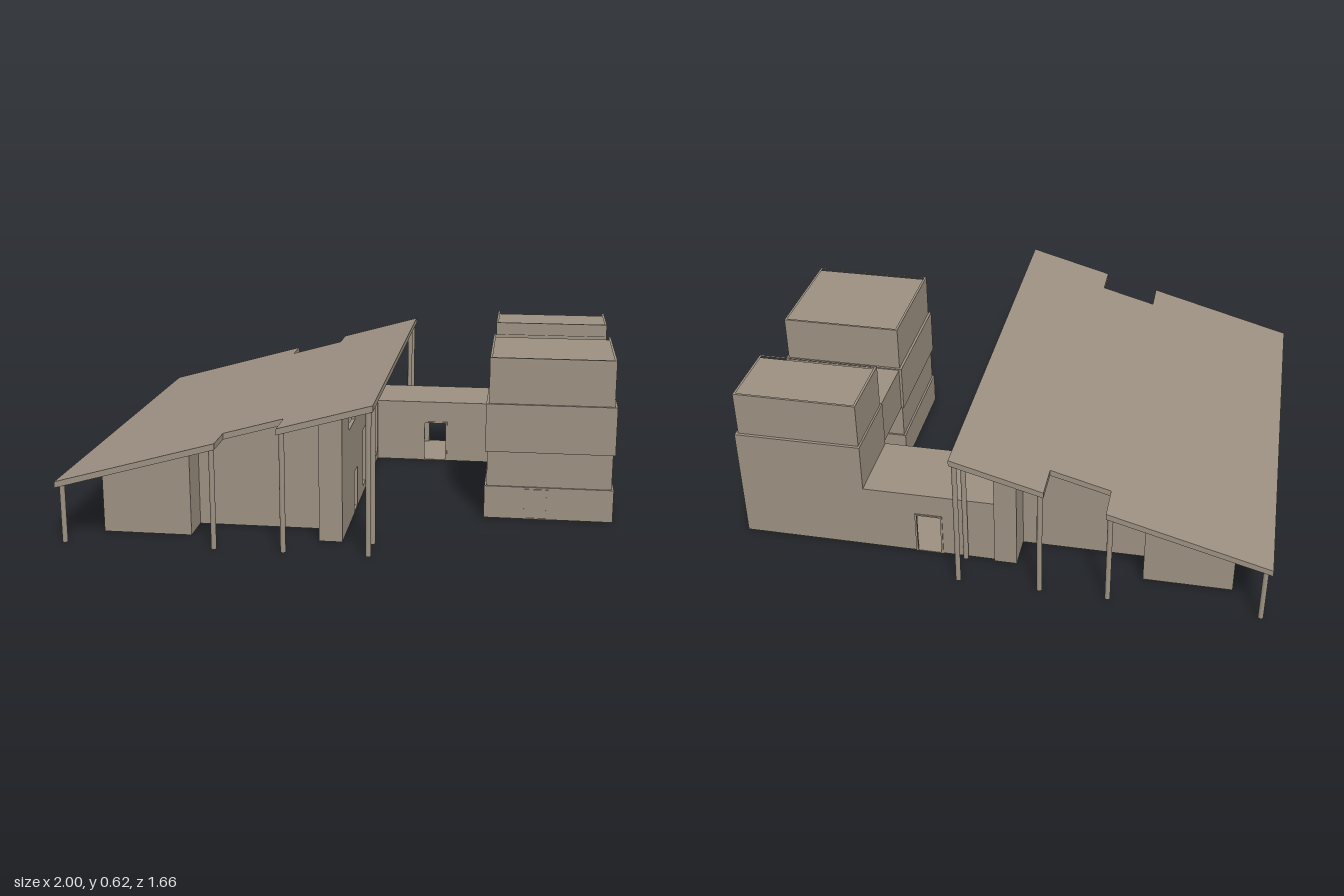
import * as THREE from 'three';

const taupe = new THREE.MeshStandardMaterial({ color: 0x9c9081 });
taupe.name = 'taupe';

// Roof plane: top and underside heights by x
const roofTop = (x) => 0.23 + 0.278 * (x + 1);
const roofUnder = (x) => roofTop(x) - 0.023;

function add(group, name, geometry) {
  const mesh = new THREE.Mesh(geometry, taupe);
  mesh.name = name;
  group.add(mesh);
  return mesh;
}

function block(group, name, x0, x1, y0, y1, z0, z1) {
  add(group, name, new THREE.BoxGeometry(x1 - x0, y1 - y0, z1 - z0))
    .position.set((x0 + x1) / 2, (y0 + y1) / 2, (z0 + z1) / 2);
}

const rect = (x0, x1, y0, y1) => [[x0, y0], [x1, y0], [x1, y1], [x0, y1]].map((p) => new THREE.Vector2(...p));

// Horizontal plate from plan points [x, z], rising by depth
function plate(points, depth, holes = []) {
  const shape = new THREE.Shape(points.map(([x, z]) => new THREE.Vector2(x, -z)));
  shape.holes = holes.map((h) => new THREE.Path(h.map(([x, z]) => new THREE.Vector2(x, -z))));
  return new THREE.ExtrudeGeometry(shape, { depth, bevelEnabled: false }).rotateX(-Math.PI / 2);
}

// Upright wall between plan points a and b, outer face on that line; holes are [u0, u1, y0, y1]
function wall(group, name, a, b, top, holes = []) {
  const dx = b[0] - a[0], dz = b[1] - a[1], len = Math.hypot(dx, dz);
  const shape = new THREE.Shape([[0, 0], [len, 0], [len, top(b[0])], [0, top(a[0])]].map((p) => new THREE.Vector2(...p)));
  shape.holes = holes.map((h) => new THREE.Path(rect(...h)));
  const geo = new THREE.ExtrudeGeometry(shape, { depth: 0.015, bevelEnabled: false }).translate(0, 0, -0.015);
  const X = new THREE.Vector3(dx / len, 0, dz / len), Y = new THREE.Vector3(0, 1, 0);
  const Z = new THREE.Vector3().crossVectors(X, Y);
  geo.applyMatrix4(new THREE.Matrix4().makeBasis(X, Y, Z).setPosition(a[0], 0, a[1]));
  add(group, name, geo);
}

// Thin door surround facing z
function doorFrame(group, x0, x1, h, z) {
  const shape = new THREE.Shape(rect(x0 - 0.005, x1 + 0.005, 0, h + 0.006));
  shape.holes = [new THREE.Path(rect(x0 + 0.002, x1 - 0.002, 0.004, h))];
  add(group, 'doorFrame', new THREE.ExtrudeGeometry(shape, { depth: 0.008, bevelEnabled: false }).translate(0, 0, z - 0.004));
}

function parapet(group, x0, x1, y, z0, z1) {
  const ring = (i) => [[x0 + i, z0 + i], [x1 - i, z0 + i], [x1 - i, z1 - i], [x0 + i, z1 - i]];
  add(group, 'parapet', plate(ring(0), 0.012, [ring(0.009)])).position.y = y;
}

function createHall() {
  const hall = new THREE.Group();
  hall.name = 'hall';

  // Footprint with an entrance recess at front and back
  const half = [[-0.87, 0.69], [-0.54, 0.69], [-0.54, 0.56], [-0.065, 0.56], [-0.065, 0.69], [0.02, 0.69]];
  const plan = [...half, ...half.map(([x, z]) => [x, -z]).reverse()];
  add(hall, 'floor', plate(plan, 0.005));

  // Window and door openings in the high and low long walls
  const highHoles = [[0.315, 0.4, 0.006, 0.165]];
  for (const z of [0.08, -0.125, -0.33]) highHoles.push([0.65 - z, 0.73 - z, 0.03, 0.265]);
  for (const z of [0.43, 0, -0.43]) highHoles.push([0.61 - z, 0.77 - z, 0.37, 0.45]);
  const lowHoles = [-0.47, 0, 0.47].map((z) => [0.61 + z, 0.77 + z, 0.06, 0.17]);
  plan.forEach((a, i) => {
    const holes = i === 5 ? highHoles : i === 11 ? lowHoles : [];
    wall(hall, 'hallWall', a, plan[(i + 1) % plan.length], roofUnder, holes);
  });

  // Sloping roof with a notch over each entrance
  const edge = [[-1, 0.83], [-0.41, 0.83], [-0.41, 0.695], [-0.19, 0.695], [-0.19, 0.83], [0.147, 0.83]];
  const roof = plate([...edge, ...edge.map(([x, z]) => [x, -z]).reverse()], 0.023);
  const pos = roof.attributes.position;
  for (let i = 0; i < pos.count; i++) pos.setY(i, pos.getY(i) + roofUnder(pos.getX(i)));
  roof.computeVertexNormals();
  add(hall, 'roof', roof);

  // Slim posts under the eaves
  for (const s of [1, -1]) {
    for (const [x, z] of [[-0.976, 0.815], [-0.425, 0.815], [-0.174, 0.815], [0.13, 0.815], [0.13, 0.69]]) {
      const h = roofUnder(x) + 0.004;
      add(hall, 'post', new THREE.CylinderGeometry(0.01, 0.01, h, 12)).position.set(x, h / 2, s * z);
    }
  }
  return hall;
}

function createCorridor() {
  const corridor = new THREE.Group();
  corridor.name = 'corridor';
  const top = () => 0.25;
  wall(corridor, 'corridorWall', [0.02, -0.38], [0.52, -0.38], top, [[0.205, 0.3, 0.004, 0.168]]);
  wall(corridor, 'corridorWall', [0.52, -0.68], [0.02, -0.68], top, [[0.2, 0.295, 0.004, 0.168]]);
  block(corridor, 'corridorFloor', 0.02, 0.52, 0, 0.004, -0.68, -0.38);
  block(corridor, 'corridorRoof', 0.02, 0.52, 0.25, 0.262, -0.68, -0.38);
  for (const z of [-0.38, -0.68]) doorFrame(corridor, 0.225, 0.32, 0.168, z);
  return corridor;
}

function createTowers() {
  const towers = new THREE.Group();
  towers.name = 'towers';

  // Front tower of alternating wide and narrow storeys
  block(towers, 'frontTowerBase', 0.515, 1, 0, 0.126, -0.127, 0.35);
  block(towers, 'frontTowerLower', 0.523, 0.992, 0.126, 0.262, -0.12, 0.343);
  block(towers, 'frontTowerMiddle', 0.515, 1, 0.262, 0.447, -0.127, 0.35);
  block(towers, 'frontTowerTop', 0.525, 0.99, 0.447, 0.61, -0.117, 0.34);
  parapet(towers, 0.525, 0.99, 0.61, -0.117, 0.34);
  doorFrame(towers, 0.672, 0.752, 0.113, 0.35);

  // Back tower
  block(towers, 'backTowerBase', 0.52, 1, 0, 0.447, -0.68, -0.38);
  block(towers, 'backTowerTop', 0.527, 0.99, 0.447, 0.607, -0.668, -0.387);
  parapet(towers, 0.527, 0.99, 0.607, -0.668, -0.387);

  // Upper bridge joining the towers
  block(towers, 'bridge', 0.525, 0.995, 0.265, 0.443, -0.38, -0.127);
  return towers;
}

export function createModel() {
  const model = new THREE.Group();
  model.name = 'building';
  model.add(createHall(), createCorridor(), createTowers());
  return model;
}
